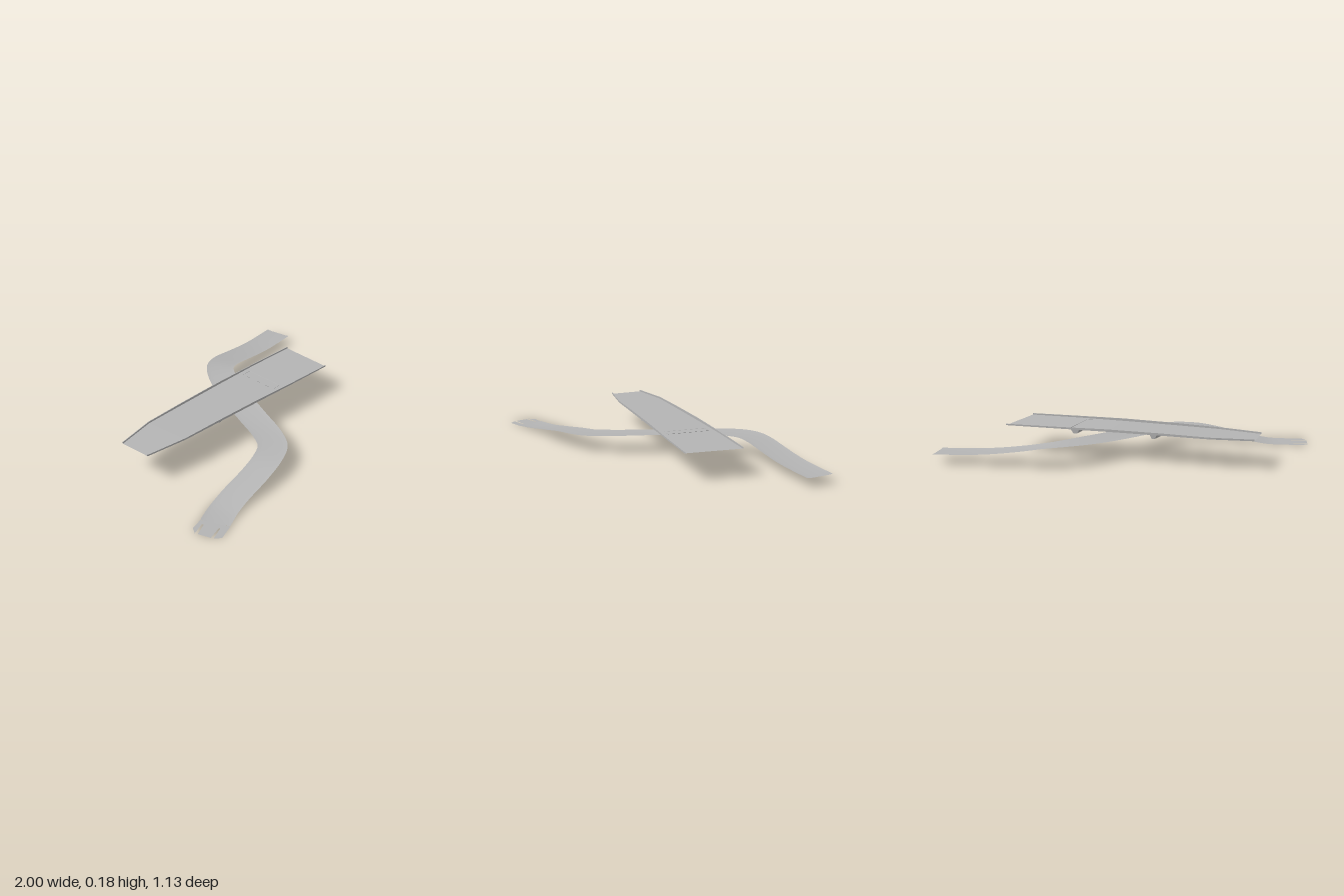
import * as THREE from 'three';

const concrete = new THREE.MeshStandardMaterial({ color: 0xb4b4b4, side: THREE.DoubleSide });
concrete.name = 'concrete grey';

// Sheet lofted through rows of points, smooth or faceted
function loft(name, rows, flat) {
  const n = rows[0].length, index = [];
  for (let i = 0; i < rows.length - 1; i++) {
    for (let j = 0; j < n - 1; j++) {
      const a = i * n + j, b = a + n;
      index.push(a, a + 1, b, a + 1, b + 1, b);
    }
  }
  let geo = new THREE.BufferGeometry();
  geo.setAttribute('position', new THREE.Float32BufferAttribute(rows.flat(2), 3));
  geo.setIndex(index);
  if (flat) geo = geo.toNonIndexed();
  geo.computeVertexNormals();
  const mesh = new THREE.Mesh(geo, concrete);
  mesh.name = name;
  return mesh;
}

// Height of the road along x
const heights = new THREE.SplineCurve([
  [-1.1, 0.003], [-0.95, 0.003], [-0.8, 0.005], [-0.7, 0.017], [-0.5, 0.055], [-0.35, 0.082],
  [-0.23, 0.092], [-0.1, 0.097], [0, 0.104], [0.15, 0.116], [0.25, 0.119], [0.35, 0.113],
  [0.5, 0.09], [0.65, 0.07], [0.8, 0.058], [1.05, 0.05],
].map(p => new THREE.Vector2(...p))).getPoints(240);
function roadY(x) {
  const i = Math.max(1, heights.findIndex(p => p.x >= x));
  const a = heights[i - 1], b = heights[i];
  return a.y + (b.y - a.y) * (x - a.x) / (b.x - a.x);
}

// Winding road with slightly raised verges
function makeRoad() {
  const path = new THREE.CatmullRomCurve3([
    [-0.87, 0.455], [-0.77, 0.425], [-0.66, 0.41], [-0.45, 0.403], [-0.32, 0.385], [-0.21, 0.34],
    [-0.135, 0.25], [-0.04, 0.075], [0.05, -0.092], [0.135, -0.24], [0.22, -0.357], [0.31, -0.435],
    [0.41, -0.463], [0.55, -0.47], [0.75, -0.474], [0.992, -0.485],
  ].map(([x, z]) => new THREE.Vector3(x, 0, z)), false, 'centripetal');
  const profile = [[-0.083, 0.003], [-0.055, 0], [0, 0], [0.055, 0], [0.083, 0.003]];
  const rows = [];
  for (let i = 0; i <= 90; i++) {
    const p = path.getPointAt(i / 90), t = path.getTangentAt(i / 90);
    rows.push(profile.map(([s, lift]) => {
      const x = p.x - t.z * s, z = p.z + t.x * s;
      return [x, roadY(x) + lift, z];
    }));
  }
  return loft('road', rows, false);
}

// Road end split into three tongues
function makeRoadEnd() {
  const outline = [
    [-0.893, 0.376], [-0.97, 0.388], [-1, 0.425], [-0.916, 0.404], [-0.914, 0.415], [-0.995, 0.44],
    [-0.98, 0.513], [-0.89, 0.495], [-0.888, 0.503], [-0.975, 0.528], [-0.947, 0.56], [-0.846, 0.534],
  ];
  const geo = new THREE.ShapeGeometry(new THREE.Shape(outline.map(([x, z]) => new THREE.Vector2(x, -z))));
  geo.rotateX(-Math.PI / 2).translate(0, 0.003, 0);
  const mesh = new THREE.Mesh(geo, concrete);
  mesh.name = 'splitRoadEnd';
  return mesh;
}

// Bridge stations: back x, z, front x, z, floor height, parapet height
const stations = [
  [-0.772, -0.265, -0.785, -0.07, 0.163, 0.172],
  [-0.527, -0.29, -0.537, -0.012, 0.165, 0.175],
  [-0.26, -0.272, -0.29, 0.02, 0.166, 0.179],
  [0.06, -0.25, 0.04, 0.062, 0.166, 0.18],
  [0.37, -0.228, 0.33, 0.098, 0.164, 0.174],
  [0.683, -0.198, 0.63, 0.13, 0.16, 0.168],
];

function makeBridge() {
  const bridge = new THREE.Group();
  bridge.name = 'bridge';
  bridge.add(loft('deck', stations.map(([bx, bz, fx, fz, y]) => [[bx, y, bz], [fx, y, fz]]), true));
  // Low parapets along both long edges
  for (const [name, k] of [['backParapet', 0], ['frontParapet', 2]]) {
    const inset = k === 0 ? 0.004 : -0.004;
    bridge.add(loft(name, stations.map(s => {
      const x = s[k], z = s[k + 1], y = s[4], top = s[5];
      return [[x, y, z], [x, top, z], [x, top, z + inset], [x, y, z + inset]];
    }), true));
  }
  return bridge;
}

// Tapered crossbeam under the deck
function makeBeam(name, back, front, halfTop, halfFoot, footBack, footFront) {
  const ring = ([x, z], foot) => [
    [x - halfTop, 0.166, z], [x - halfFoot, foot, z], [x + halfFoot, foot, z], [x + halfTop, 0.166, z],
  ];
  const a = ring(back, footBack), b = ring(front, footFront);
  const beam = new THREE.Group();
  beam.name = name;
  beam.add(loft('beamSides', [a, b], true));
  for (const r of [a, b]) beam.add(loft('beamEnd', [[r[0], r[3]], [r[1], r[2]]], true));
  return beam;
}

export function createModel() {
  const model = new THREE.Group();
  model.name = 'roadAndBridge';
  model.add(makeRoad(), makeRoadEnd(), makeBridge());
  model.add(makeBeam('leftBeam', [0.265, -0.2], [0.235, 0.043], 0.03, 0.012, 0.135, 0.138));
  model.add(makeBeam('rightBeam', [-0.2, -0.232], [-0.225, -0.018], 0.025, 0.008, 0.136, 0.123));
  return model;
}
